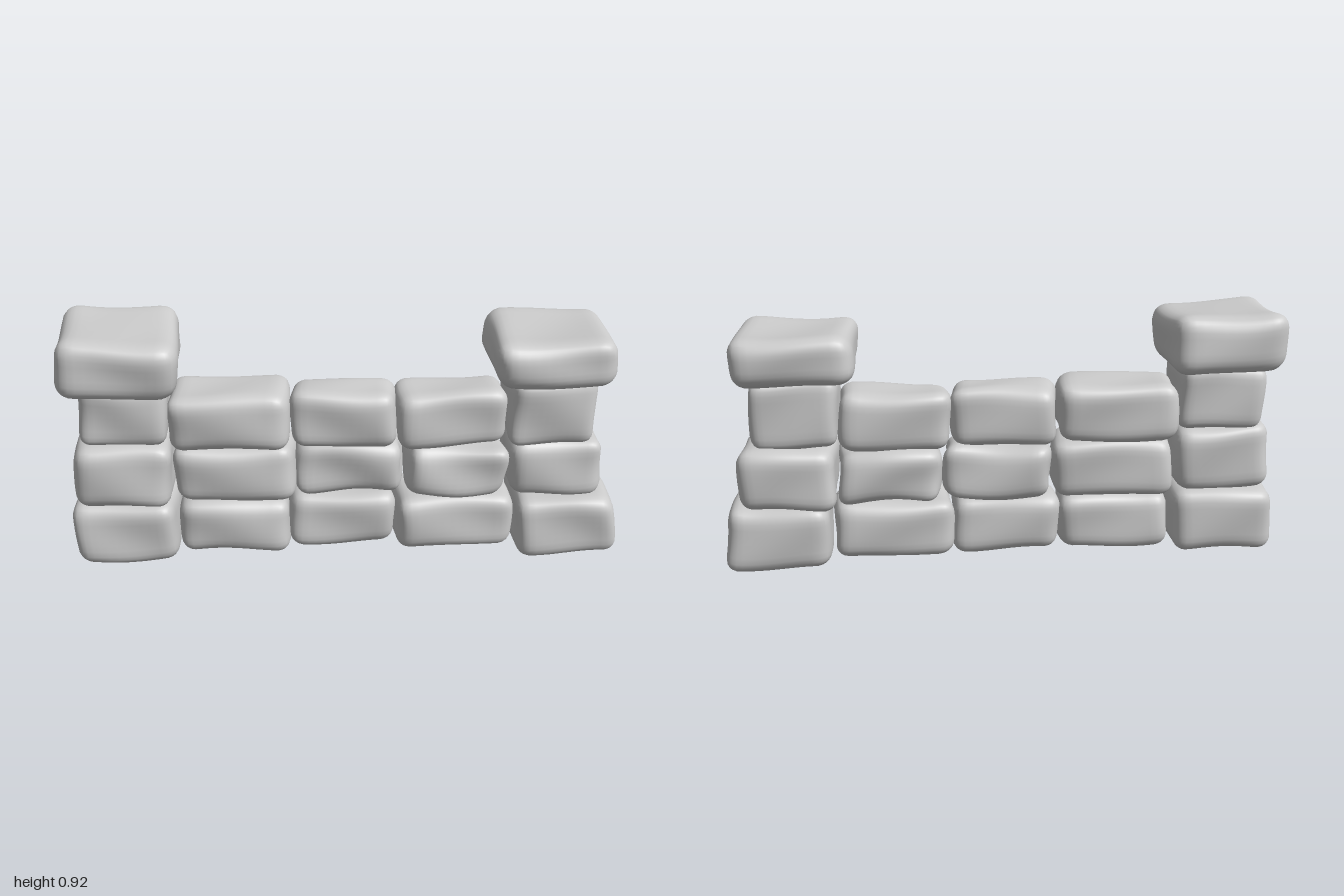
import * as THREE from 'three';
import { mergeVertices } from 'three/addons/utils/BufferGeometryUtils.js';

const material = new THREE.MeshStandardMaterial({ color: 0xcccccc });

// A soft, slightly lumpy stone fitted exactly into the box [x0,x1, y0,y1, z0,z1].
// yaw, roll and pitch tilt it, dish hollows its top, flare widens its foot towards +x.
function stone(name, [x0, x1, y0, y1, z0, z1], seed, { yaw = 0, roll = 0, pitch = 0, dish = 0, flare = 0, round = 0.055, lump = 0.005 } = {}) {
  const size = new THREE.Vector3(x1 - x0, y1 - y0, z1 - z0);
  const half = size.clone().multiplyScalar(0.5);
  const inner = half.clone().subScalar(round);
  let geo = new THREE.BoxGeometry(2, 2, 2, 18, 14, 16);
  geo.deleteAttribute('normal');
  geo.deleteAttribute('uv');
  geo = mergeVertices(geo);

  const pos = geo.attributes.position;
  const p = new THREE.Vector3(), core = new THREE.Vector3(), d = new THREE.Vector3();
  const ease = (t) => Math.sin(t * Math.PI / 2); // crowd the grid towards the edges
  for (let i = 0; i < pos.count; i++) {
    p.fromBufferAttribute(pos, i);
    p.set(ease(p.x), ease(p.y), ease(p.z)).multiply(half);
    core.copy(p).clamp(inner.clone().negate(), inner);
    d.copy(p).sub(core).setLength(round);
    p.copy(core).add(d);

    // gentle low-frequency waviness
    const u = p.x / half.x, v = p.y / half.y, w = p.z / half.z;
    p.x += lump * Math.sin(2.3 * w + 1.9 * v + seed * 1.7);
    p.y += lump * Math.sin(2.6 * u + 1.7 * w + seed * 2.9);
    p.z += lump * 1.4 * Math.sin(2.4 * u + 2.1 * v + seed * 4.3);
    p.y += dish * (u * u + w * w - 1) * (0.5 + 0.5 * v);
    p.x -= flare * Math.max(u, 0) * (v + 1) / 2;
    pos.setXYZ(i, p.x, p.y, p.z);
  }
  geo.rotateX(pitch);
  geo.rotateZ(roll);
  geo.rotateY(yaw);

  // fit into the wanted box
  geo.computeBoundingBox();
  const got = geo.boundingBox.getSize(new THREE.Vector3());
  geo.center();
  geo.scale(size.x / got.x, size.y / got.y, size.z / got.z);
  geo.translate((x0 + x1) / 2, (y0 + y1) / 2, (z0 + z1) / 2);
  geo.computeVertexNormals();
  const mesh = new THREE.Mesh(geo, material);
  mesh.name = name;
  return mesh;
}

export function createModel() {
  const model = new THREE.Group();
  model.name = 'stoneWall';
  let seed = 1;
  const course = (groupName, partName, list) => {
    const group = new THREE.Group();
    group.name = groupName;
    list.forEach(([box, options], i) => group.add(stone(partName + (i + 1), box, seed++, options)));
    model.add(group);
  };

  // Pillars, bottom to top
  course('rightPillar', 'pillarStone', [
    [[-0.99, -0.615, 0.03, 0.275, -0.18, 0.18], { roll: 0.01 }],
    [[-0.97, -0.62, 0.26, 0.51, -0.16, 0.185], { roll: -0.04 }],
    [[-0.94, -0.625, 0.49, 0.73, -0.15, 0.15], { round: 0.045 }],
  ]);
  course('leftPillar', 'pillarStone', [
    [[0.615, 1.0, 0.0, 0.245, -0.18, 0.175], { flare: 0.03 }],
    [[0.585, 0.935, 0.23, 0.465, -0.19, 0.13], { roll: 0.01 }],
    [[0.57, 0.885, 0.45, 0.71, -0.15, 0.15], { round: 0.045 }],
  ]);

  // Wide, hollowed capstones
  course('caps', 'capstone', [
    [[-1.0, -0.575, 0.685, 0.92, -0.21, 0.22], { dish: 0.016, roll: -0.05, pitch: 0.05, yaw: 0.02, round: 0.07 }],
    [[0.505, 0.935, 0.69, 0.872, -0.22, 0.21], { dish: 0.009, yaw: -0.02, round: 0.065 }],
  ]);

  // Three courses between the pillars
  course('bottomCourse', 'wallStone', [
    [[-0.615, -0.205, 0.03, 0.25, -0.13, 0.13], { roll: -0.02 }],
    [[-0.215, 0.18, 0.03, 0.25, -0.13, 0.10], {}],
    [[0.17, 0.615, 0.025, 0.245, -0.15, 0.14], { yaw: 0.04 }],
  ]);
  course('middleCourse', 'wallStone', [
    [[-0.625, -0.18, 0.235, 0.46, -0.14, 0.12], { yaw: -0.04 }],
    [[-0.19, 0.215, 0.235, 0.45, -0.15, 0.09], { yaw: -0.05, lump: 0.008 }],
    [[0.21, 0.59, 0.225, 0.44, -0.14, 0.12], { roll: -0.02, lump: 0.008 }],
  ]);
  course('topCourse', 'wallStone', [
    [[-0.635, -0.2, 0.445, 0.665, -0.15, 0.13], { yaw: -0.05 }],
    [[-0.205, 0.185, 0.43, 0.655, -0.12, 0.10], { yaw: -0.05 }],
    [[0.175, 0.58, 0.42, 0.65, -0.13, 0.10], { yaw: 0.03, roll: 0.03 }],
  ]);

  return model;
}
